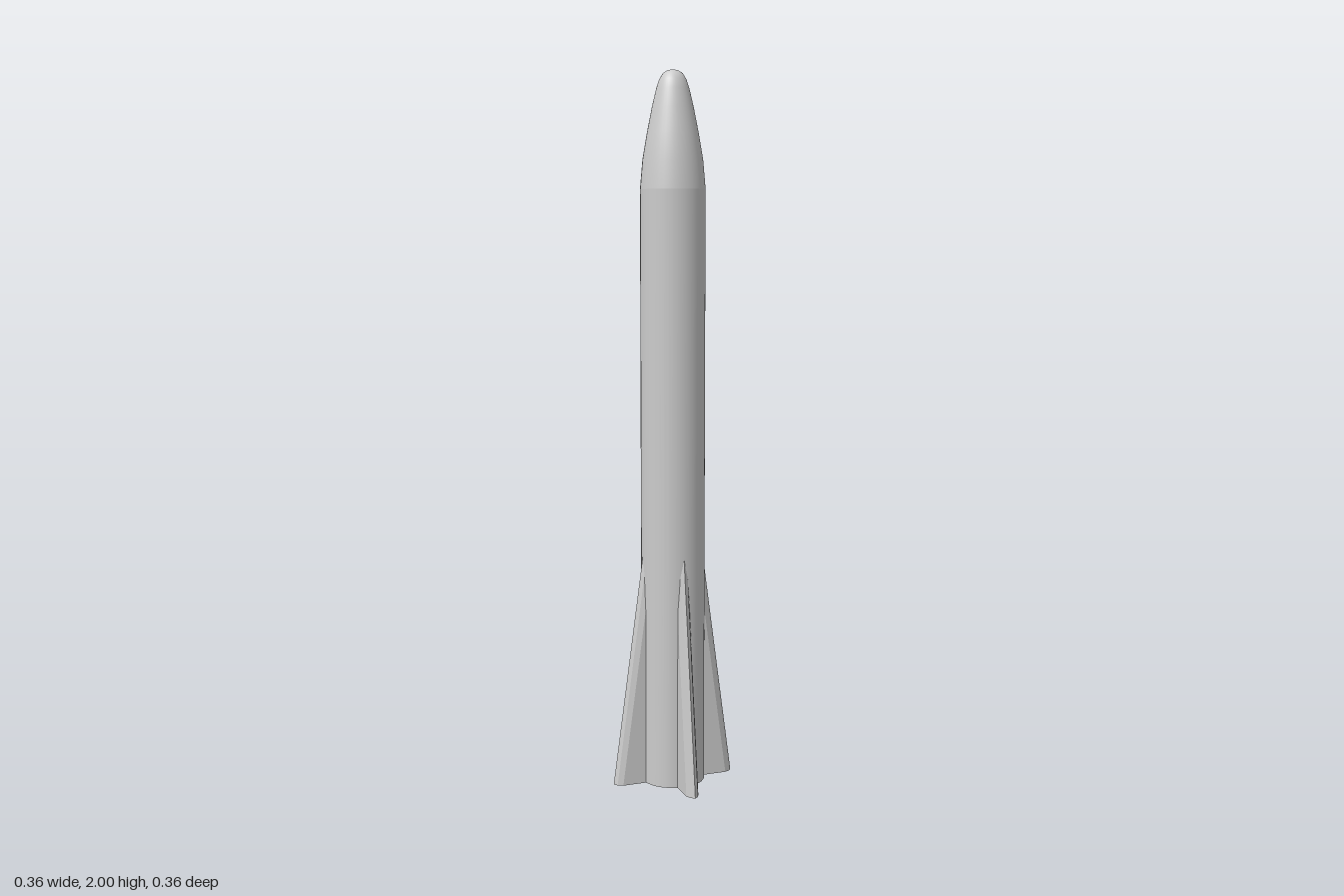
import * as THREE from 'three';

const BODY_R = 0.09, BORE_R = 0.037, BORE_TOP = 0.4, SHOULDER = 1.68;
const FIN_H = 0.66, FIN_SWEEP = 0.09, FIN_ROOT = 0.06;

export function createModel() {
  const model = new THREE.Group();
  model.name = 'rocket';
  const smooth = new THREE.MeshStandardMaterial({ color: 0xcccccc });
  const flat = new THREE.MeshStandardMaterial({ color: 0xcccccc, flatShading: true });

  // Each turned surface is its own lathe, so the rims between them stay sharp
  const turned = (name, profile) => {
    const points = profile.map(([r, y]) => new THREE.Vector2(r, y));
    const mesh = new THREE.Mesh(new THREE.LatheGeometry(points, 40), smooth);
    mesh.name = name;
    model.add(mesh);
  };

  // Body tube with a motor bore in its base
  turned('bodyTube', [[BODY_R, 0], [BODY_R, SHOULDER]]);
  turned('baseRing', [[BORE_R, 0], [BODY_R, 0]]);
  turned('motorBore', [[BORE_R, BORE_TOP], [BORE_R, 0]]);
  turned('motorBoreEnd', [[0, BORE_TOP], [BORE_R, BORE_TOP]]);

  // Rounded ogive nose
  turned('noseCone', [
    [BODY_R, SHOULDER], [0.083, 1.76], [0.071, 1.83], [0.057, 1.9], [0.045, 1.95],
    [0.037, 1.974], [0.027, 1.99], [0.014, 1.998], [0, 2],
  ]);

  // Fin: bevel-edged section raised along y, its outer part swept in to the tube
  const section = new THREE.Shape([
    [FIN_ROOT, -0.018], [0.157, -0.018], [0.172, -0.011], [0.18, 0],
    [0.172, 0.011], [0.157, 0.018], [FIN_ROOT, 0.018],
  ].map(([x, y]) => new THREE.Vector2(x, y)));
  const finGeometry = new THREE.ExtrudeGeometry(section, { depth: FIN_H, bevelEnabled: false });
  finGeometry.rotateX(-Math.PI / 2);
  const pos = finGeometry.attributes.position;
  for (let i = 0; i < pos.count; i++) {
    const x = pos.getX(i);
    if (x > FIN_ROOT + 0.01) pos.setX(i, x - FIN_SWEEP * pos.getY(i) / FIN_H);
  }
  finGeometry.computeVertexNormals();

  ['leftFin', 'backFin', 'rightFin', 'frontFin'].forEach((name, i) => {
    const fin = new THREE.Mesh(finGeometry, flat);
    fin.name = name;
    fin.rotation.y = i * Math.PI / 2;
    model.add(fin);
  });

  return model;
}
